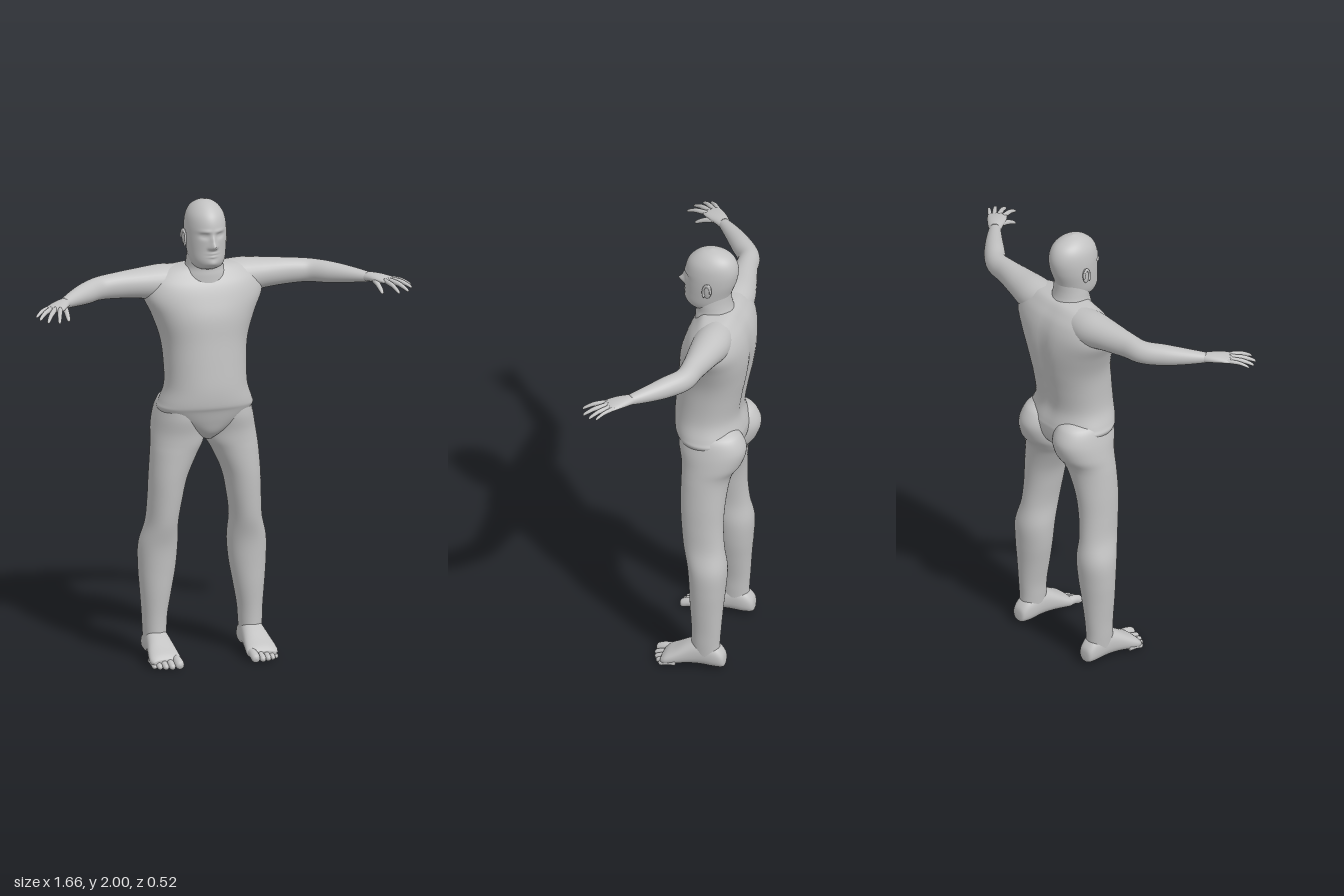
import * as THREE from 'three';

const skinMat = new THREE.MeshStandardMaterial({ color: 0xc2c2c2 });
skinMat.name = 'plain grey';

// Smooth sampling of a list of equal-length stations, u in 0..1
function sample(stations, u) {
  const n = stations.length - 1, f = Math.min(u, 1) * n;
  const i = Math.min(Math.floor(f), n - 1), t = f - i;
  const at = k => stations[Math.max(0, Math.min(n, k))];
  return at(i).map((b, k) => {
    const a = at(i - 1)[k], c = at(i + 1)[k], d = at(i + 2)[k];
    return 0.5 * (2 * b + (c - a) * t + (2 * a - 5 * b + 4 * c - d) * t * t + (3 * b - a - 3 * c + d) * t * t * t);
  });
}

// Closed skin over rings given by point(u, angle); capped, turned outward, smooth
function skin(name, rings, sides, point, mirror = 1) {
  const pos = [], idx = [];
  for (let r = 0; r <= rings; r++) for (let s = 0; s < sides; s++) {
    const p = point(r / rings, s / sides * Math.PI * 2);
    pos.push(p.x * mirror, p.y, p.z);
  }
  for (let r = 0; r < rings; r++) for (let s = 0; s < sides; s++) {
    const a = r * sides + s, b = r * sides + (s + 1) % sides;
    idx.push(a, a + sides, b, b, a + sides, b + sides);
  }
  for (const [r, flip] of [[0, false], [rings, true]]) {
    const c = new THREE.Vector3();
    for (let s = 0; s < sides; s++) c.add(new THREE.Vector3().fromArray(pos, (r * sides + s) * 3));
    c.divideScalar(sides);
    const ci = pos.length / 3;
    pos.push(c.x, c.y, c.z);
    for (let s = 0; s < sides; s++) {
      const a = r * sides + s, b = r * sides + (s + 1) % sides;
      flip ? idx.push(ci, b, a) : idx.push(ci, a, b);
    }
  }
  // Signed volume decides which way the faces point
  let vol = 0;
  const v = k => new THREE.Vector3().fromArray(pos, idx[k] * 3);
  for (let k = 0; k < idx.length; k += 3) vol += v(k).dot(v(k + 1).cross(v(k + 2)));
  if (vol < 0) idx.reverse();
  const g = new THREE.BufferGeometry();
  g.setAttribute('position', new THREE.Float32BufferAttribute(pos, 3));
  g.setIndex(idx);
  g.computeVertexNormals();
  const m = new THREE.Mesh(g, skinMat);
  m.name = name;
  return m;
}

const power = (c, e) => Math.sign(c) * Math.abs(c) ** e;

// Upright loft; stations are [y, xInner, xOuter, zFront, zBack]
function upright(name, st, { rings = 40, sides = 40, e = 1, mirror = 1, sculpt } = {}) {
  return skin(name, rings, sides, (u, a) => {
    const [y, x0, x1, zf, zb] = sample(st, u);
    const p = new THREE.Vector3(
      (x0 + x1) / 2 + (x1 - x0) / 2 * power(Math.cos(a), e), y,
      (zf + zb) / 2 + (zf - zb) / 2 * power(Math.sin(a), e));
    if (sculpt) sculpt(p, Math.sin(a));
    return p;
  }, mirror);
}

// Limb along a path; stations are [x, y, z, radius up, radius sideways]
function limb(name, st, mirror, rings = 12, sides = 12) {
  return skin(name, rings, sides, (u, a) => {
    const [x, y, z, ru, rs] = sample(st, u);
    const p0 = sample(st, Math.max(0, u - 0.02)), p1 = sample(st, Math.min(1, u + 0.02));
    const side = new THREE.Vector3(p1[2] - p0[2], 0, p0[0] - p1[0]).normalize();
    return new THREE.Vector3(x, y + Math.sin(a) * Math.max(ru, 0.001), z)
      .addScaledVector(side, Math.cos(a) * Math.max(rs, 0.001));
  }, mirror);
}

const sym = rows => rows.map(([y, w, f, b]) => [y, -w, w, f, b]);
const bump = (p, x, y, sx, sy) => Math.exp(-(((p.x - x) / sx) ** 2) - ((p.y - y) / sy) ** 2);

export function createModel() {
  const body = new THREE.Group();
  body.name = 'body';

  // Torso with a shallow spine groove
  body.add(upright('torso', sym([
    [0.965, 0.02, -0.02, -0.1], [1.0, 0.08, 0.018, -0.19], [1.05, 0.165, 0.04, -0.225],
    [1.1, 0.206, 0.056, -0.232], [1.13, 0.2, 0.067, -0.228], [1.2, 0.178, 0.07, -0.215],
    [1.3, 0.177, 0.062, -0.23], [1.4, 0.188, 0.052, -0.25], [1.5, 0.222, 0.043, -0.262],
    [1.58, 0.258, 0.02, -0.256], [1.64, 0.25, -0.005, -0.237], [1.68, 0.215, -0.035, -0.21],
    [1.704, 0.16, -0.055, -0.188], [1.715, 0.08, -0.07, -0.165]]), {
    rings: 70, sides: 64, e: 0.92,
    sculpt(p, s) {
      if (s < 0) p.z += 0.014 * bump(p, 0, 1.4, 0.035, 0.22);
    },
  }));

  // Neck
  body.add(upright('neck', sym([
    [1.64, 0.115, -0.01, -0.21], [1.68, 0.098, -0.012, -0.195], [1.71, 0.082, -0.015, -0.175],
    [1.75, 0.076, -0.012, -0.166], [1.8, 0.07, -0.02, -0.165]])));

  // Head with brow, eye sockets, nose, lips and chin raised from the surface
  body.add(upright('head', sym([
    [1.712, 0.045, -0.005, -0.1], [1.727, 0.064, 0.022, -0.13], [1.755, 0.076, 0.035, -0.153],
    [1.8, 0.083, 0.034, -0.17], [1.85, 0.087, 0.034, -0.188], [1.9, 0.086, 0.033, -0.196],
    [1.94, 0.078, 0.02, -0.188], [1.97, 0.06, -0.006, -0.166], [1.99, 0.034, -0.038, -0.128],
    [2.0, 0.002, -0.078, -0.084]]), {
    rings: 90, sides: 96,
    sculpt(p, s) {
      if (s <= 0) return;
      const x = Math.abs(p.x), q = { x, y: p.y };
      p.z += 0.028 * bump(p, 0, 1.822, 0.013, 0.014) + 0.014 * bump(p, 0, 1.845, 0.01, 0.022)
        + 0.008 * bump(q, 0.014, 1.815, 0.008, 0.008)
        - 0.011 * bump(q, 0.034, 1.866, 0.018, 0.012) + 0.004 * bump(q, 0.034, 1.866, 0.011, 0.006)
        + 0.005 * bump(q, 0.03, 1.885, 0.025, 0.008)
        + 0.006 * bump(p, 0, 1.789, 0.02, 0.005) + 0.006 * bump(p, 0, 1.777, 0.018, 0.005)
        - 0.004 * bump(p, 0, 1.783, 0.024, 0.003) + 0.007 * bump(p, 0, 1.745, 0.022, 0.014);
    },
  }));

  for (const m of [1, -1]) {
    const side = m > 0 ? 'left' : 'right';

    // Ear: shell, rim and lobe
    const ear = new THREE.Group();
    ear.name = side + 'Ear';
    const shell = new THREE.Mesh(new THREE.SphereGeometry(1, 16, 12).scale(0.008, 0.036, 0.02), skinMat);
    shell.name = 'earShell';
    const rim = new THREE.Mesh(new THREE.TorusGeometry(0.018, 0.005, 8, 20, Math.PI * 1.4), skinMat);
    rim.name = 'earRim';
    rim.scale.set(1, 1.7, 1);
    rim.rotation.y = Math.PI / 2;
    rim.position.x = m * 0.006;
    ear.add(shell, rim);
    ear.position.set(m * 0.088, 1.838, -0.087);
    ear.rotation.set(-0.15, -m * 0.25, 0);
    body.add(ear);

    // Arm, bent forward at the elbow
    body.add(limb(side + 'Arm', [
      [0.1, 1.635, -0.135, 0.075, 0.075], [0.18, 1.636, -0.133, 0.079, 0.08],
      [0.27, 1.643, -0.126, 0.066, 0.068], [0.38, 1.645, -0.114, 0.056, 0.05],
      [0.465, 1.643, -0.1, 0.05, 0.046], [0.54, 1.642, -0.045, 0.046, 0.044],
      [0.61, 1.642, 0.015, 0.035, 0.035], [0.672, 1.642, 0.074, 0.022, 0.024]], m, 50, 28));

    // Hand: palm, four fingers and thumb
    const hand = new THREE.Group();
    hand.name = side + 'Hand';
    hand.add(limb('palm', [
      [0.66, 1.642, 0.062, 0.021, 0.023], [0.69, 1.645, 0.093, 0.019, 0.034],
      [0.718, 1.644, 0.125, 0.016, 0.041], [0.742, 1.641, 0.15, 0.012, 0.041],
      [0.752, 1.639, 0.16, 0.004, 0.03]], m, 16, 20));
    const digits = {
      littleFinger: [0.762, 0.125, 0.829, 1.622, 0.178, 0.008],
      ringFinger: [0.756, 0.145, 0.823, 1.618, 0.21, 0.0095],
      middleFinger: [0.742, 0.16, 0.797, 1.613, 0.243, 0.01],
      indexFinger: [0.722, 0.172, 0.752, 1.612, 0.26, 0.0095],
      thumb: [0.684, 0.108, 0.694, 1.603, 0.208, 0.0115],
    };
    for (const [name, [x, z, tx, ty, tz, r]] of Object.entries(digits)) {
      const st = [[-0.12, 1], [0.2, 1.1], [0.5, 1], [0.8, 0.85], [0.96, 0.6], [1, 0.1]].map(([t, k]) =>
        [x + (tx - x) * t, 1.641 + (ty - 1.641) * t + 0.008 * Math.sin(Math.max(t, 0) * Math.PI),
          z + (tz - z) * t, r * k, r * k]);
      hand.add(limb(name, st, m, 15, 12));
    }
    body.add(hand);

    // Leg, from buttock to ankle
    body.add(upright(side + 'Leg', [
      [1.155, 0.06, 0.15, -0.03, -0.2], [1.13, 0.02, 0.19, 0.02, -0.238], [1.07, 0.002, 0.212, 0.028, -0.263],
      [1.0, 0, 0.225, 0.016, -0.245], [0.95, 0.008, 0.231, 0.012, -0.212],
      [0.9, 0.035, 0.236, 0.01, -0.196], [0.8, 0.08, 0.243, 0.006, -0.186],
      [0.7, 0.102, 0.247, -0.002, -0.183], [0.6, 0.116, 0.254, -0.014, -0.19],
      [0.5, 0.112, 0.279, -0.036, -0.206], [0.4, 0.12, 0.28, -0.045, -0.201],
      [0.3, 0.138, 0.273, -0.05, -0.192], [0.2, 0.156, 0.265, -0.057, -0.185],
      [0.13, 0.161, 0.262, -0.058, -0.18], [0.07, 0.165, 0.258, -0.055, -0.18]],
    { rings: 80, sides: 40, e: 0.96, mirror: m }));

    // Foot, swept from heel to ball; stations are [z, xInner, xOuter, yTop, ySole]
    const foot = new THREE.Group();
    foot.name = side + 'Foot';
    const sole = [
      [-0.206, 0.2, 0.222, 0.05, 0.03], [-0.198, 0.178, 0.245, 0.085, 0.016],
      [-0.16, 0.165, 0.255, 0.122, 0.012], [-0.1, 0.161, 0.26, 0.138, 0.014],
      [-0.045, 0.155, 0.268, 0.115, 0.012], [0.01, 0.148, 0.279, 0.08, 0.006],
      [0.045, 0.146, 0.282, 0.058, 0.003], [0.066, 0.158, 0.272, 0.038, 0.008]];
    foot.add(skin('footBody', 40, 32, (u, a) => {
      const [z, x0, x1, yt, yb] = sample(sole, u);
      return new THREE.Vector3((x0 + x1) / 2 + (x1 - x0) / 2 * power(Math.cos(a), 0.85),
        (yt + yb) / 2 + (yt - yb) / 2 * power(Math.sin(a), 0.85), z);
    }, m));
    // Toes, large to small
    [[0.168, 0.112, 0.02], [0.2, 0.11, 0.0145], [0.226, 0.102, 0.0135], [0.249, 0.09, 0.0125], [0.268, 0.074, 0.0115]]
      .forEach(([x, tip, r], i) => {
        foot.add(limb('toe' + (i + 1), [
          [x, r + 0.012, tip - 0.075, r, r], [x, r + 0.009, tip - 0.04, r, r],
          [x, r + 0.002, tip - 0.018, r, r], [x, r, tip - 0.005, r * 0.75, r * 0.75],
          [x, r, tip, r * 0.1, r * 0.1]], m, 14, 14));
      });
    body.add(foot);
  }
  return body;
}
